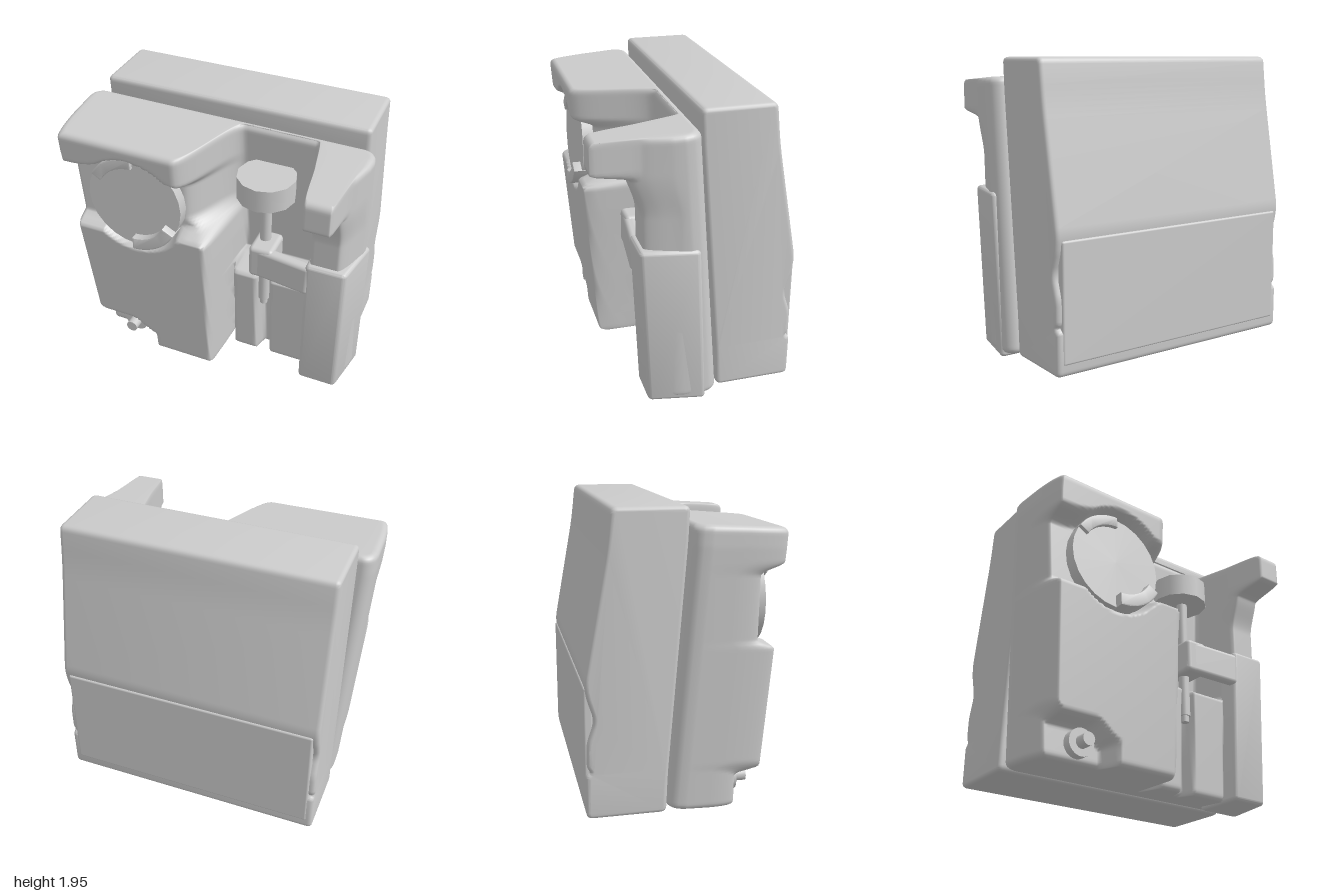
import * as THREE from 'three';
import { toCreasedNormals } from 'three/addons/utils/BufferGeometryUtils.js';
import { RoundedBoxGeometry } from 'three/addons/geometries/RoundedBoxGeometry.js';

const material = new THREE.MeshStandardMaterial({ color: 0xcccccc });
const { lerp, smoothstep } = THREE.MathUtils;
const step = (a, b, t) => smoothstep(t, a, b);

// Back plane of the leaning front body
const backZ = (y) => -0.13 + 0.073 * y;

// Depth of the moulded front at (x, y)
function frontZ(x, y) {
  const channel = backZ(y) + 0.06;

  // Large left tank with its round window recess and the cut-out at its foot
  let tank = 0.455 + 0.07 * y;
  const sill = 1.08 + 0.09 * step(-0.4, -0.1, x);
  const brow = 1.62 + 0.12 * Math.exp(-(((x + 0.5) / 0.2) ** 2));
  const band = step(sill, sill + 0.05, y) * (1 - step(brow - 0.09, brow, y));
  const round = 1 - step(0.33, 0.37, Math.hypot(x + 0.48, y - 1.36));
  tank = lerp(tank, 0.42, Math.max(band, round));
  const footTop = 0.28 - 0.1 * step(-0.6, -0.42, x) + 0.07 * (1 - step(-0.92, -0.82, x));
  tank = lerp(tank, 0.31, (1 - step(-0.46, -0.4, x)) * (1 - step(footTop - 0.06, footTop, y)));
  const wall = lerp(0.02, -0.16, step(1.15, 1.3, y));
  let z = lerp(channel, tank, 1 - step(wall, 0.08 + 0.04 * Math.min(y, 1), x));

  // Low ledge in the channel, with a slot for the rod
  const slot = step(0.28, 0.31, x) * (1 - step(0.36, 0.39, x));
  const ledge = 0.2 + 0.05 * y - 0.1 * slot;
  const onLedge = step(0.05, 0.12, x) * (1 - step(0.755, 0.785, y));
  z = Math.max(z, lerp(channel, ledge, onLedge));

  // Right column and the horn on top of it
  const column = 0.32 + 0.02 * y + 0.07 * step(1.3, 1.6, y) - 0.22 * step(0.87, 1.0, x);
  z = Math.max(z, lerp(channel, column, step(0.6, 0.7, x)));
  const horn = step(0.67, 0.72, x) * (1 - step(0.88, 0.92, x)) * step(1.56, 1.63, y);
  return lerp(z, 0.65, horn);
}

// Closed body: each row is a ring of front points, then back points
function bodyGeometry() {
  const N = 160, ROWS = 110, M = 2 * (N + 1), r = 0.04, bottom = 0.012, top = 1.825;
  const rows = [];
  for (let k = 5; k >= 0; k--) {
    const a = (k / 5) * Math.PI / 2;
    rows.push([bottom + r * (1 - Math.sin(a)), r * (1 - Math.cos(a))]);
  }
  const cap = rows.map(([y, inset]) => [top + bottom - y, inset]).reverse();
  for (let j = 1; j < ROWS; j++) rows.push([lerp(bottom + r, top - r, j / ROWS), 0]);
  rows.push(...cap);

  const pos = [], index = [];
  for (const [y, inset] of rows) {
    const xl = -0.89 - 0.11 * Math.min(y / 1.7, 1) + inset, xr = 0.98 - inset;
    const b = backZ(y);
    for (let k = 0; k < M; k++) {
      const isFront = k <= N;
      const u = (isFront ? k : M - 1 - k) / N;
      const x = lerp(xl, xr, u - 0.5 * Math.sin(2 * Math.PI * u) / (2 * Math.PI));
      const d = Math.min(x - xl, xr - x);
      const edge = (radius) => Math.sqrt(Math.max(0, 1 - (1 - Math.min(d / radius, 1)) ** 2));
      let z;
      if (isFront) {
        const f = Math.max(frontZ(x, y) - inset, b + inset + 0.01);
        z = lerp(b + 0.12, f, edge(0.055));
      } else z = b + inset + (0.1 - inset) * (1 - edge(0.08));
      pos.push(x, y + (0.45 - z) * 0.06 - 0.012 * x * y / top, z);
    }
  }
  for (let j = 0; j < rows.length - 1; j++) {
    for (let k = 0; k < M; k++) {
      const a = j * M + k, c = j * M + (k + 1) % M;
      index.push(a, c, c + M, a, c + M, a + M);
    }
  }
  const t = (rows.length - 1) * M;
  for (let i = 0; i < N; i++) {
    const p = i, q = i + 1, s = M - 2 - i, w = M - 1 - i;
    index.push(t + p, t + q, t + s, t + p, t + s, t + w, p, s, q, p, w, s);
  }
  const g = new THREE.BufferGeometry();
  g.setAttribute('position', new THREE.Float32BufferAttribute(pos, 3));
  g.setIndex(index);
  g.computeVertexNormals();
  return g;
}

// Shape with rounded corners; points are [z, y, radius]
function roundedProfile(points) {
  const shape = new THREE.Shape(), n = points.length;
  const v = points.map(([z, y]) => new THREE.Vector2(-z, y));
  v.forEach((p, i) => {
    const toward = (q) => {
      const d = q.clone().sub(p);
      return p.clone().addScaledVector(d.normalize(), points[i][2]);
    };
    const a = toward(v[(i + n - 1) % n]), b = toward(v[(i + 1) % n]);
    if (i === 0) shape.moveTo(a.x, a.y); else shape.lineTo(a.x, a.y);
    shape.quadraticCurveTo(p.x, p.y, b.x, b.y);
  });
  shape.closePath();
  return shape;
}

// Profile drawn in z and y, swept across x
function backGeometry() {
  const shape = roundedProfile([
    [-0.14, 0.045, 0.04], [-0.645, 0.045, 0.04], [-0.645, 0.33, 0.02], [-0.615, 0.35, 0.01],
    [-0.635, 0.38, 0.02], [-0.635, 0.53, 0.04], [-0.585, 0.68, 0.05], [-0.63, 0.82, 0.03],
    [-0.645, 0.92, 0.05], [-0.5, 1.7, 0.1], [-0.47, 1.96, 0.04], [0, 1.96, 0.04],
    [-0.01, 1.75, 0.1], [-0.13, 0.3, 0.1],
  ]);
  const g = new THREE.ExtrudeGeometry(shape, {
    depth: 1.755, bevelSize: 0.025, bevelOffset: -0.025, bevelThickness: 0.03, bevelSegments: 4, curveSegments: 6,
  });
  g.rotateY(Math.PI / 2).translate(-0.868, 0, 0);
  return toCreasedNormals(g, 0.6);
}

// Leaning cover around the lower right column, narrower towards the front
function coverGeometry() {
  const g = new RoundedBoxGeometry(0.335, 1.09, 0.37, 6, 0.03);
  const p = g.attributes.position;
  for (let i = 0; i < p.count; i++) {
    const x = p.getX(i), z = p.getZ(i), drop = p.getY(i) - 0.545;
    const taper = 0.22 * Math.max(0, z + 0.1) * (x > 0 ? 1 : 0);
    p.setXYZ(i, x + 0.012 * drop - taper, p.getY(i), z + 0.05 * drop);
  }
  return toCreasedNormals(g, 0.6);
}

// Curved clip on the rim of the round plate
function clipGeometry(from, to, inner, outer, depth) {
  const s = new THREE.Shape();
  s.absarc(0, 0, outer, from, to, false);
  s.absarc(0, 0, inner, to, from, true);
  const g = new THREE.ExtrudeGeometry(s, { depth, bevelSize: 0.008, bevelThickness: 0.008, bevelSegments: 2, curveSegments: 12 });
  return toCreasedNormals(g, 0.6);
}

export function createModel() {
  const model = new THREE.Group();
  const add = (name, geometry, x = 0, y = 0, z = 0, parent = model) => {
    const mesh = new THREE.Mesh(geometry, material);
    mesh.name = name;
    mesh.position.set(x, y, z);
    parent.add(mesh);
    return mesh;
  };

  add('frontBody', bodyGeometry());
  add('backHousing', backGeometry());
  add('backLid', new RoundedBoxGeometry(1.74, 0.77, 0.06, 3, 0.015), 0.01, 0.505, -0.62);
  add('columnCover', coverGeometry(), 0.833, 0.56, 0.193);

  // Round plate and its two clips
  const plate = new THREE.Group();
  plate.name = 'roundPlate';
  plate.position.set(-0.48, 1.365, 0.44);
  plate.rotation.x = -0.03;
  model.add(plate);
  add('plateDisc', new THREE.CylinderGeometry(0.335, 0.335, 0.12, 24).rotateX(Math.PI / 2), 0, 0, 0, plate);
  add('upperClip', clipGeometry(1.6, 2.6, 0.27, 0.33, 0.08), 0, 0, 0, plate);
  add('lowerClip', clipGeometry(-1.55, -0.5, 0.26, 0.33, 0.11), 0, 0, 0, plate);

  // Knob on a rod, held by an arm from the column
  add('knob', new THREE.CylinderGeometry(0.195, 0.195, 0.16, 12), 0.32, 1.52, 0.185);
  add('rod', new THREE.CylinderGeometry(0.038, 0.038, 0.87, 16), 0.33, 1.01, 0.2);
  add('rodTip', new THREE.CylinderGeometry(0.027, 0.027, 0.05, 16), 0.33, 0.555, 0.2);
  const arm = add('arm', new RoundedBoxGeometry(0.44, 0.23, 0.08, 4, 0.03), 0.48, 0.975, 0.315);
  arm.rotation.set(0, -0.1, -0.04);
  add('armEnd', new RoundedBoxGeometry(0.17, 0.24, 0.23, 4, 0.03), 0.345, 0.985, 0.225);

  // Drain spout in the foot cut-out
  const tube = (r, l) => new THREE.CylinderGeometry(r, r, l, 24).rotateX(Math.PI / 2);
  add('drainFlange', tube(0.09, 0.07), -0.625, 0.14, 0.335);
  add('drainSpout', tube(0.042, 0.13), -0.625, 0.14, 0.385);

  return model;
}
